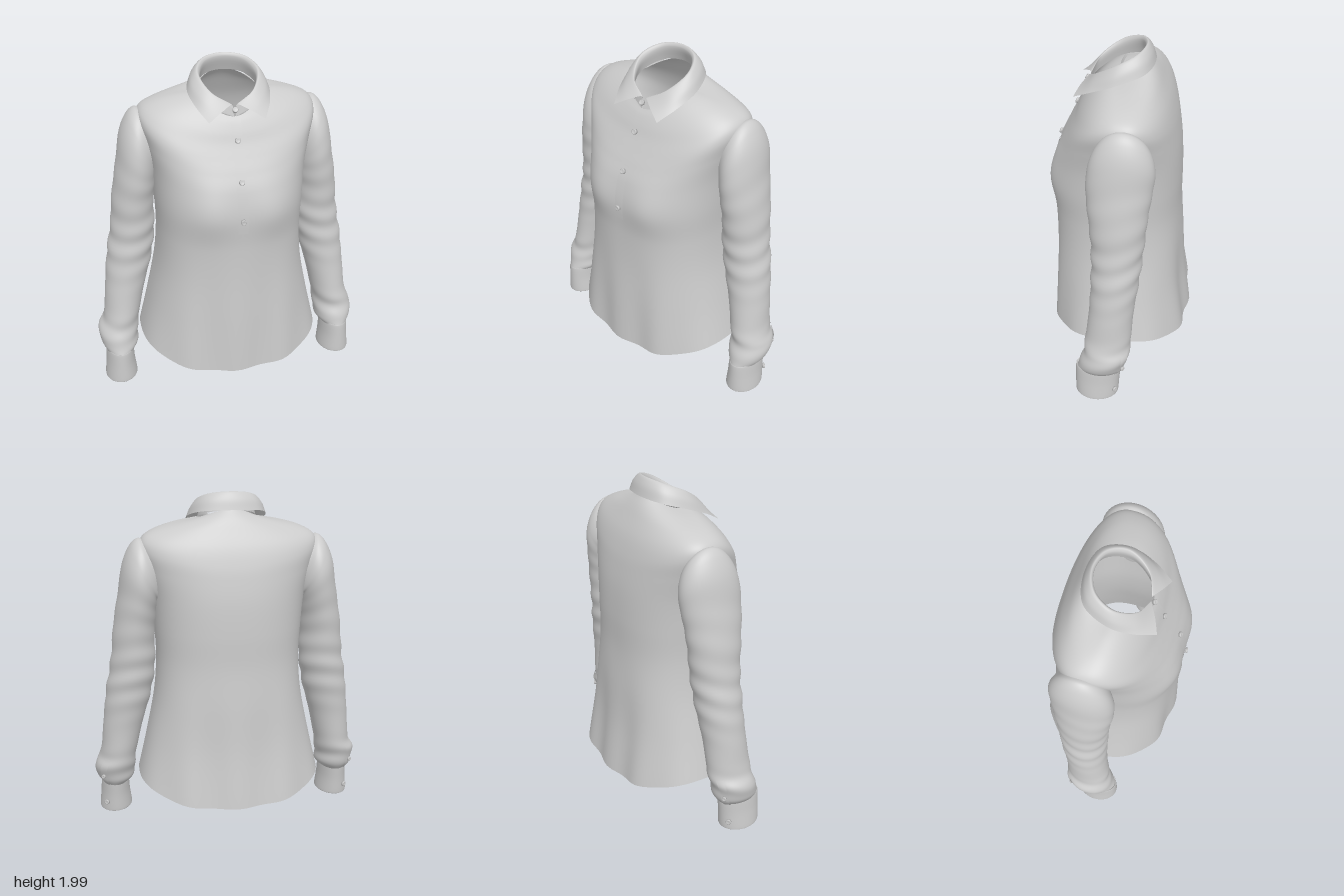
import * as THREE from 'three';

const mat = new THREE.MeshStandardMaterial({ color: 0xcccccc, side: THREE.DoubleSide });

// Smooth interpolation through rows of numbers; t runs 0..1
function rowSpline(rows) {
  const n = rows[0].length;
  const it = new THREE.CubicInterpolant(rows.map((_, i) => i), rows.flat(), n, new Array(n).fill(0));
  return t => Array.from(it.evaluate(t * (rows.length - 1)));
}

// Surface from fn(u, v) -> Vector3, optionally closed around u
function loft(name, fn, nu, nv, closed = false, flip = false) {
  const pos = [], idx = [], cols = closed ? nu : nu + 1;
  for (let j = 0; j <= nv; j++)
    for (let i = 0; i < cols; i++) pos.push(...fn(i / nu, j / nv).toArray());
  for (let j = 0; j < nv; j++)
    for (let i = 0; i < nu; i++) {
      const k = (i + 1) % cols;
      const a = j * cols + i, b = j * cols + k, c = a + cols, d = b + cols;
      if (flip) idx.push(a, c, b, b, c, d);
      else idx.push(a, b, c, b, d, c);
    }
  const g = new THREE.BufferGeometry();
  g.setAttribute('position', new THREE.Float32BufferAttribute(pos, 3));
  g.setIndex(idx);
  g.computeVertexNormals();
  const m = new THREE.Mesh(g, mat);
  m.name = name;
  return m;
}

const spow = (v, p) => Math.sign(v) * Math.pow(Math.abs(v), p);
const bell = (d, w) => Math.exp(-(d * d) / (w * w));

// Body rings: half width, side y, front y, front z, back y, back z, side z, squareness
const body = rowSpline([
  [0.175, 1.84, 1.73, 0.19, 1.90, -0.16, 0.02, 1],
  [0.30, 1.822, 1.70, 0.21, 1.85, -0.20, -0.01, 0.97],
  [0.42, 1.79, 1.65, 0.235, 1.79, -0.235, -0.04, 0.92],
  [0.50, 1.745, 1.59, 0.26, 1.70, -0.28, -0.06, 0.88],
  [0.52, 1.68, 1.52, 0.295, 1.61, -0.31, -0.06, 0.85],
  [0.49, 1.56, 1.44, 0.335, 1.52, -0.33, -0.05, 0.83],
  [0.455, 1.40, 1.34, 0.375, 1.38, -0.35, -0.03, 0.82],
  [0.44, 1.20, 1.19, 0.402, 1.20, -0.36, -0.01, 0.82],
  [0.432, 1.0, 1.0, 0.395, 1.0, -0.362, -0.01, 0.82],
  [0.45, 0.78, 0.77, 0.395, 0.77, -0.378, -0.02, 0.82],
  [0.50, 0.53, 0.48, 0.405, 0.48, -0.395, -0.03, 0.82],
  [0.56, 0.27, 0.16, 0.415, 0.16, -0.435, -0.03, 0.8],
]);

function bodyPoint(a, t, lift = 0) {
  const [hw, ys, yf, zf, yb, zb, zs, p] = body(t);
  const c = Math.cos(a), s = Math.sin(a), front = s > 0;
  const x = hw * spow(c, p);
  const y = THREE.MathUtils.lerp(ys, front ? yf : yb, s * s);
  let z = zs + ((front ? zf : zb) - zs) * Math.pow(Math.abs(s), p);
  if (front) z += 0.022 * bell(Math.abs(x) - 0.19, 0.13) * bell(y - 1.22, 0.15);
  // soft drape folds growing towards the hem
  const drape = THREE.MathUtils.smoothstep(1.05 - y, 0, 0.9);
  z += 0.012 * drape * s * Math.cos(x * 21 + (front ? 0.6 : 0));
  return new THREE.Vector3(x, y, z + lift);
}

// Ring parameter at which the centre front reaches a height
function frontParam(y) {
  let lo = 0, hi = 1;
  for (let i = 0; i < 30; i++) {
    const mid = (lo + hi) / 2;
    if (bodyPoint(Math.PI / 2, mid).y > y) lo = mid; else hi = mid;
  }
  return lo;
}

// Sleeve rings: inner x, y, outer x, y, front z, back z
const sleeveRows = rowSpline([
  [0.40, 1.40, 0.49, 1.73, 0.07, -0.20],
  [0.41, 1.37, 0.535, 1.735, 0.09, -0.225],
  [0.42, 1.37, 0.58, 1.69, 0.11, -0.24],
  [0.425, 1.35, 0.622, 1.59, 0.125, -0.245],
  [0.435, 1.28, 0.652, 1.42, 0.128, -0.23],
  [0.445, 1.15, 0.688, 1.21, 0.112, -0.21],
  [0.445, 1.0, 0.708, 1.02, 0.10, -0.195],
  [0.475, 0.80, 0.745, 0.81, 0.10, -0.175],
  [0.53, 0.60, 0.77, 0.60, 0.11, -0.15],
  [0.572, 0.41, 0.79, 0.42, 0.13, -0.14],
  [0.585, 0.32, 0.825, 0.34, 0.14, -0.13],
  [0.59, 0.24, 0.822, 0.25, 0.165, -0.11],
  [0.63, 0.195, 0.79, 0.195, 0.18, -0.08],
]);
const cuffRows = rowSpline([
  [0.634, 0.205, 0.786, 0.205, 0.178, -0.076],
  [0.626, 0.212, 0.794, 0.212, 0.187, -0.084],
  [0.621, 0.12, 0.80, 0.12, 0.19, -0.075],
  [0.61, 0.025, 0.81, 0.015, 0.192, -0.068],
  [0.616, 0.025, 0.804, 0.02, 0.186, -0.062],
]);

function tubePoint(rows, side, a, t, grow = 0, wrinkle = 0) {
  const [ix, iy, ox, oy, zf, zb] = rows(t);
  const y0 = (iy + oy) / 2;
  const env = bell(y0 - 0.92, 0.2) + 1.1 * bell(y0 - 0.33, 0.09) + 0.3 * bell(y0 - 1.3, 0.15);
  const w = 1 + grow + wrinkle * env * Math.sin(44 * y0 + 2.2 * Math.sin(a + 0.6) + side * 0.8);
  const c = Math.cos(a) * w / 2, s = Math.sin(a) * w / 2;
  return new THREE.Vector3(side * ((ix + ox) / 2 + c * (ox - ix)), y0 + c * (oy - iy), (zf + zb) / 2 + s * (zf - zb));
}

// Round button facing along a direction
function button(name, p, dir, r = 0.016) {
  const profile = [[0, -0.006], [r, -0.006], [r, 0.006], [r * 0.75, 0.009], [r * 0.6, 0.006], [0, 0.006]];
  const m = new THREE.Mesh(new THREE.LatheGeometry(profile.map(q => new THREE.Vector2(...q)), 20), mat);
  m.name = name;
  m.position.copy(p).addScaledVector(dir, 0.008);
  m.quaternion.setFromUnitVectors(new THREE.Vector3(0, 1, 0), dir);
  return m;
}

function sleeve(side) {
  const g = new THREE.Group();
  g.name = side > 0 ? 'leftSleeve' : 'rightSleeve';
  const TAU = Math.PI * 2, flip = side < 0, slit = -0.95;
  g.add(loft('sleeve', (u, v) => tubePoint(sleeveRows, side, u * TAU, v, 0, 0.035), 56, 130, true, flip));
  g.add(loft('cuff', (u, v) => tubePoint(cuffRows, side, u * TAU, v), 48, 24, true, flip));
  // slit placket above the cuff
  g.add(loft('sleevePlacket', (u, v) =>
    tubePoint(sleeveRows, side, slit + (u - 0.5) * 0.36, 0.77 + 0.22 * v, 0.05, 0.035), 6, 24, false, flip));
  const dir = new THREE.Vector3(side * Math.cos(slit), 0, Math.sin(slit)).normalize();
  g.add(button('cuffButton', tubePoint(cuffRows, side, slit, 0.6), dir));
  g.add(button('sleeveButton', tubePoint(sleeveRows, side, slit, 0.89, 0.05, 0.035), dir, 0.013));
  return g;
}

// Collar lines run from the left front around the back to the right front
function collarLine(half) {
  const pts = half.map(p => new THREE.Vector3(...p));
  const mirrored = pts.slice(0, -1).reverse().map(p => new THREE.Vector3(-p.x, p.y, p.z));
  return new THREE.CatmullRomCurve3([...pts, ...mirrored], false, 'centripetal');
}

function collar() {
  const lines = [
    // stand bottom, stand top, fold, leaf middle, leaf edge
    [[0.005, 1.73, 0.195], [0.10, 1.765, 0.155], [0.172, 1.83, 0.03], [0.12, 1.88, -0.11], [0, 1.895, -0.155]],
    [[0.01, 1.77, 0.185], [0.105, 1.83, 0.14], [0.16, 1.91, 0.02], [0.11, 1.965, -0.09], [0, 1.98, -0.128]],
    [[0.012, 1.795, 0.18], [0.125, 1.86, 0.13], [0.175, 1.94, 0.01], [0.12, 1.985, -0.098], [0, 2.0, -0.14]],
    [[0.085, 1.768, 0.222], [0.175, 1.83, 0.14], [0.212, 1.90, 0.01], [0.148, 1.95, -0.125], [0, 1.962, -0.168]],
    [[0.16, 1.725, 0.255], [0.215, 1.79, 0.14], [0.235, 1.845, 0.01], [0.168, 1.89, -0.142], [0, 1.90, -0.188]],
  ].map(collarLine);
  return loft('collar', (u, v) =>
    new THREE.CatmullRomCurve3(lines.map(l => l.getPoint(u)), false, 'centripetal').getPoint(v), 72, 20);
}

export function createModel() {
  const shirt = new THREE.Group();
  shirt.name = 'shirt';
  shirt.add(loft('body', (u, v) => bodyPoint(u * Math.PI * 2, v), 128, 110, true));
  shirt.add(collar());

  // front button placket
  const end = frontParam(1.1);
  shirt.add(loft('frontPlacket', (u, v) => {
    const p = bodyPoint(Math.PI / 2, v * end, 0.004);
    p.x = (0.5 - u) * 0.06;
    return p;
  }, 2, 40));

  for (const y of [1.765, 1.61, 1.4, 1.18]) {
    const t = frontParam(Math.min(y, 1.72));
    const p = bodyPoint(Math.PI / 2, t, 0.003);
    const q = bodyPoint(Math.PI / 2, t + 0.02, 0.003);
    const dir = new THREE.Vector3(0, q.z - p.z, p.y - q.y).normalize();
    if (y > 1.72) p.set(0, y, 0.192);
    shirt.add(button('frontButton', p, dir));
  }
  for (const side of [1, -1]) shirt.add(sleeve(side));
  return shirt;
}
